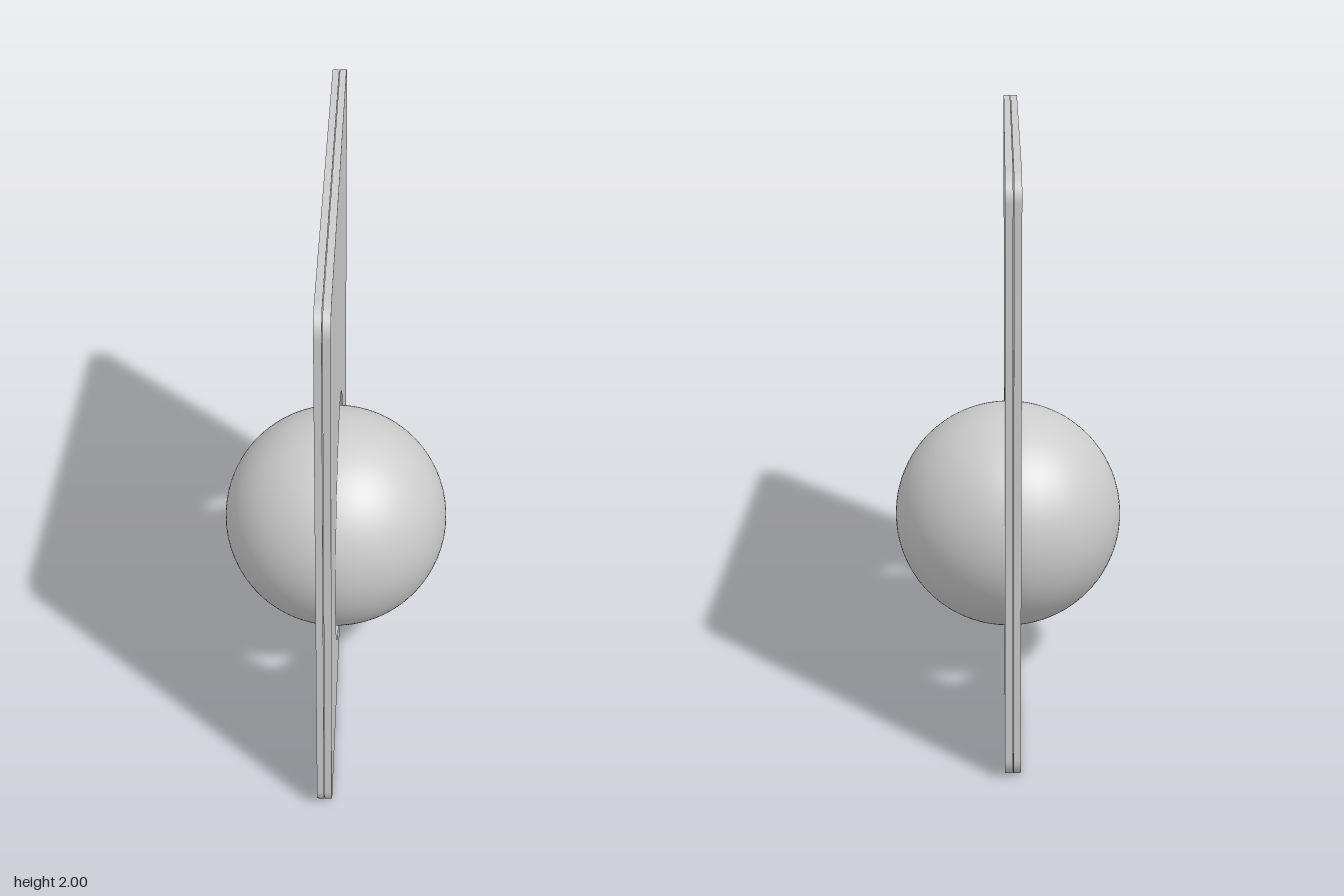
import * as THREE from 'three';

const HALF_WIDTH = 0.908, HEIGHT = 2, CORNER = 0.08;
const CENTRE_Y = 0.593, HOLE_RADIUS = 0.463, BALL_RADIUS = 0.41;
const SHEET = 0.0245, GAP = 0.002, BACK_X = -0.038;

// Rounded rectangle with a round opening
function sheetShape() {
  const w = HALF_WIDTH, h = HEIGHT, r = CORNER;
  const shape = new THREE.Shape();
  shape.moveTo(-w + r, 0);
  shape.lineTo(w - r, 0);
  shape.absarc(w - r, r, r, -Math.PI / 2, 0, false);
  shape.lineTo(w, h - r);
  shape.absarc(w - r, h - r, r, 0, Math.PI / 2, false);
  shape.lineTo(-w + r, h);
  shape.absarc(-w + r, h - r, r, Math.PI / 2, Math.PI, false);
  shape.lineTo(-w, r);
  shape.absarc(-w + r, r, r, Math.PI, Math.PI * 1.5, false);
  const hole = new THREE.Path();
  hole.absarc(0, CENTRE_Y, HOLE_RADIUS, 0, Math.PI * 2, true);
  shape.holes.push(hole);
  return shape;
}

export function createModel() {
  const group = new THREE.Group();
  const material = new THREE.MeshStandardMaterial({ color: 0xcccccc });

  // Two thin sheets lying back to back, extruded along x
  const sheetGeometry = new THREE.ExtrudeGeometry(sheetShape(), {
    depth: SHEET, bevelEnabled: false, curveSegments: 48,
  });
  sheetGeometry.rotateY(Math.PI / 2);
  ['rightSheet', 'leftSheet'].forEach((name, i) => {
    const sheet = new THREE.Mesh(sheetGeometry, material);
    sheet.name = name;
    sheet.position.x = BACK_X + i * (SHEET + GAP);
    group.add(sheet);
  });

  // Ball floating in the opening
  const ball = new THREE.Mesh(new THREE.SphereGeometry(BALL_RADIUS, 96, 64), material);
  ball.name = 'ball';
  ball.position.y = CENTRE_Y;
  group.add(ball);

  return group;
}
